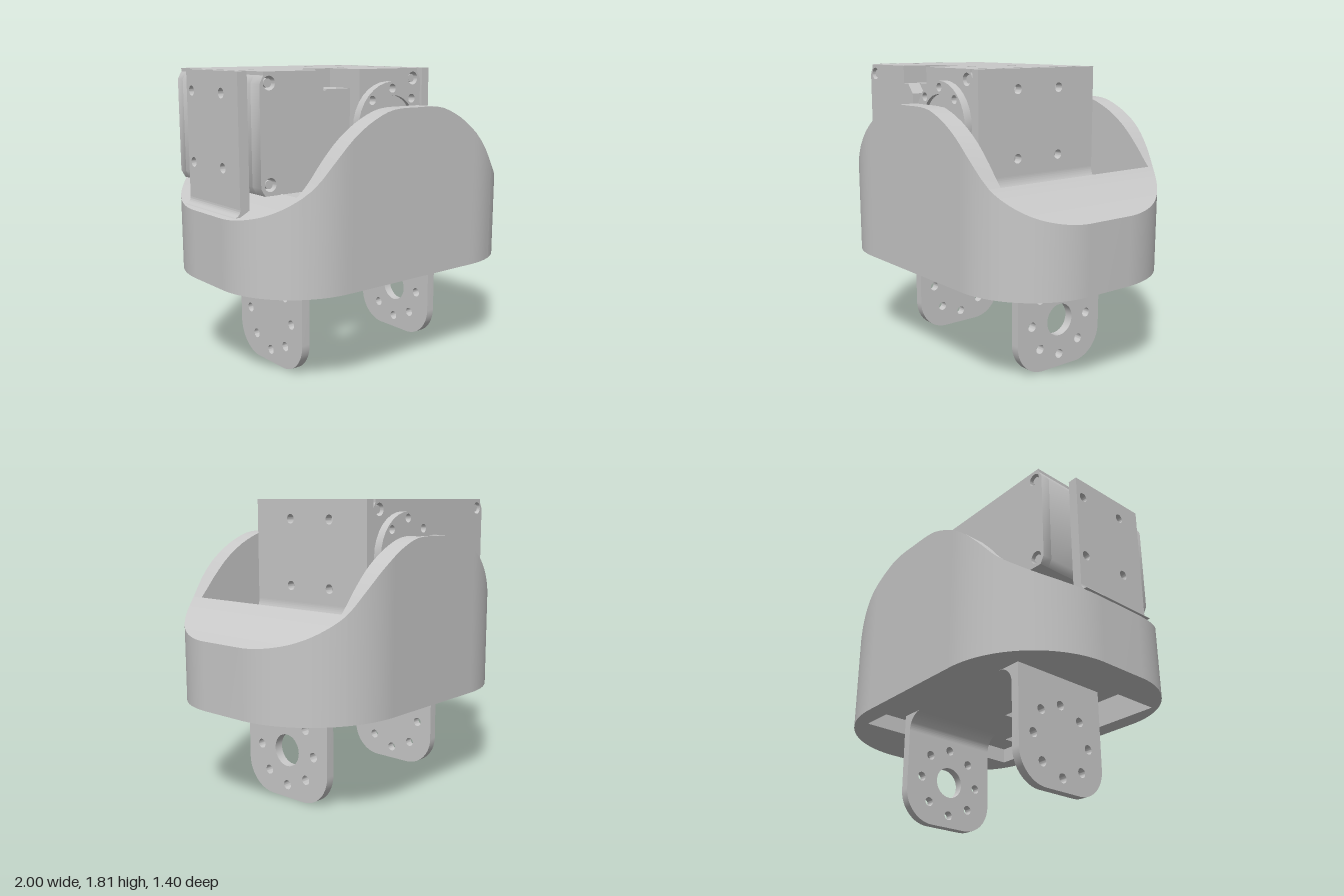
import * as THREE from 'three';
import { toCreasedNormals } from 'three/addons/utils/BufferGeometryUtils.js';

export function createModel() {
  const root = new THREE.Group();
  const grey = new THREE.MeshStandardMaterial({ color: 0xc8c8c8 });
  grey.name = 'neutral grey';

  const add = (name, geo, x = 0, y = 0, z = 0, parent = root) => {
    const m = new THREE.Mesh(geo, grey);
    m.name = name;
    m.position.set(x, y, z);
    parent.add(m);
    return m;
  };
  const group = (name) => {
    const g = new THREE.Group();
    g.name = name;
    root.add(g);
    return g;
  };
  // Box given by its limits
  const block = (name, x0, x1, y0, y1, z0, z1, parent) =>
    add(name, new THREE.BoxGeometry(x1 - x0, y1 - y0, z1 - z0), (x0 + x1) / 2, (y0 + y1) / 2, (z0 + z1) / 2, parent);
  const poly = (pts, holes = []) => {
    const s = new THREE.Shape(pts.map(([x, y]) => new THREE.Vector2(x, y)));
    for (const [x, y, r] of holes) s.holes.push(new THREE.Path().absarc(x, y, r, 0, Math.PI * 2, true));
    return s;
  };
  const rect = (x0, x1, y0, y1) => [[x0, y0], [x1, y0], [x1, y1], [x0, y1]];
  const extrude = (shape, depth) =>
    toCreasedNormals(new THREE.ExtrudeGeometry(shape, { depth, bevelEnabled: false, curveSegments: 16 }), 0.6);
  // Cylinder along z
  const rod = (name, r, x, y, z0, z1, parent) =>
    add(name, new THREE.CylinderGeometry(r, r, z1 - z0, 40).rotateX(Math.PI / 2), x, y, (z0 + z1) / 2, parent);
  // Concave fillet in an inside corner, running along z
  const fillet = (r, length) => {
    const s = new THREE.Shape();
    s.moveTo(0, 0);
    s.lineTo(r, 0);
    s.absarc(r, r, r, Math.PI * 1.5, Math.PI, true);
    s.lineTo(0, 0);
    return extrude(s, length).translate(0, 0, -length / 2);
  };

  // ---- Shell: rounded plan, with a humped top edge ----
  const base = 0.6, inner = 0.58, roof = 0.7, floor = 1.07;
  const hx = [-0.2, 0, 0.2, 0.33, 0.4, 0.5, 0.6, 0.7, 0.8, 0.9, 1];
  const hy = [1.59, 1.6, 1.59, 1.54, 1.5, 1.425, 1.322, 1.205, 1.125, 1.06, 1.01];
  const spline = new THREE.CubicInterpolant(hx, hy, 1);
  const height = (x) => spline.evaluate(Math.min(1, Math.abs(x)))[0];
  // Half-depth at x for a given corner radius: the front corners are tighter
  const halfDepth = (x, r) => {
    const d = Math.max(0, Math.abs(x) - (1 - r));
    return 0.7 - r + Math.sqrt(Math.max(0, r * r - d * d));
  };
  const front = (x) => halfDepth(x, 0.5);
  const back = (x) => -halfDepth(x, 0.6);
  // Lofts rectangular sections along x between the sides zA(x) and zB(x)
  const loft = (x0, x1, zA, zB) => {
    const n = 30, pos = [], loops = [];
    for (let i = 0; i <= n; i++) {
      const t = i / n;
      // closer sections towards the rounded tips
      const u = x1 >= 1 ? Math.sin(t * Math.PI / 2) : x0 <= -1 ? 1 - Math.cos(t * Math.PI / 2) : t;
      const x = x0 + (x1 - x0) * u, a = zA(x), b = zB(x), h = height(x);
      loops.push([[x, base, a], [x, base, b], [x, h, b], [x, h, a]]);
    }
    const quad = (a, b, c, d) => pos.push(...a, ...b, ...c, ...a, ...c, ...d);
    for (let i = 0; i < n; i++)
      for (let k = 0; k < 4; k++) {
        const j = (k + 1) % 4;
        quad(loops[i][k], loops[i + 1][k], loops[i + 1][j], loops[i][j]);
      }
    quad(...loops[0]);
    quad(...loops[n].slice().reverse());
    const g = new THREE.BufferGeometry();
    g.setAttribute('position', new THREE.Float32BufferAttribute(pos, 3));
    return toCreasedNormals(g, 0.6);
  };
  const shell = group('shell');
  add('shellLeftEnd', loft(0.7, 1, back, front), 0, 0, 0, shell);
  add('shellRightEnd', loft(-1, -0.76, back, front), 0, 0, 0, shell);
  add('shellFrontWall', loft(-0.76, 0.7, () => inner, front), 0, 0, 0, shell);
  // Back wall with a slot for the idler shaft
  const slot = 0.122;
  add('shellBackWallRight', loft(-0.76, -slot, back, () => -inner), 0, 0, 0, shell);
  add('shellBackWallMiddle', loft(-slot, slot, back, () => -0.665), 0, 0, 0, shell);
  add('shellBackWallLeft', loft(slot, 0.7, back, () => -inner), 0, 0, 0, shell);
  block('shaftSlotFloor', -slot, slot, base, 1.38, -0.665, -inner, shell);
  block('innerLedge', 0.44, 0.7, roof, floor, -inner, inner, shell);
  block('innerLedgeFoot', 0.6, 0.7, base, roof, -inner, inner, shell);

  // ---- Lower bracket: plate with two drilled ears ----
  const lower = group('lowerBracket');
  const ear = (bore) => {
    const s = new THREE.Shape();
    s.moveTo(-0.33, roof + 0.03);
    s.lineTo(-0.33, 0.2);
    s.absarc(-0.13, 0.2, 0.2, Math.PI, Math.PI * 1.5, false);
    s.absarc(0.13, 0.2, 0.2, Math.PI * 1.5, Math.PI * 2, false);
    s.lineTo(0.33, roof + 0.03);
    for (let i = 0; i < 8; i++) {
      const a = i * Math.PI / 4;
      s.holes.push(new THREE.Path().absarc(0.22 * Math.cos(a), 0.3 + 0.22 * Math.sin(a), 0.029, 0, Math.PI * 2, true));
    }
    if (bore) s.holes.push(new THREE.Path().absarc(0, 0.3, 0.1, 0, Math.PI * 2, true));
    return extrude(s, 0.055).rotateY(Math.PI / 2);
  };
  add('leftEar', ear(true), 0.49, 0, 0, lower);
  add('rightEar', ear(false), -0.55, 0, 0, lower);
  add('rightEarFillet', fillet(0.11, 0.66).rotateX(Math.PI), -0.495, roof, 0, lower);
  add('leftEarFillet', fillet(0.11, 0.66).rotateZ(Math.PI), 0.49, roof, 0, lower);
  // Plate with a cable cut-out at the front (shape y is -z)
  const plate = poly([[-0.76, 0.45], [-0.76, -0.45], [-0.38, -0.45], [-0.38, -0.15], [0.1, -0.15],
    [0.1, -0.45], [0.6, -0.45], [0.6, 0.45]]);
  add('lowerPlate', extrude(plate, 0.06).rotateX(-Math.PI / 2), 0, roof, 0, lower);

  // ---- Upper bracket: cradle around the motor ----
  const upper = group('upperBracket');
  const side = (z0, z1, y0, t) => {
    const holes = [];
    for (const z of [-0.16, 0.16]) for (const y of [1.28, 1.69]) holes.push([-z, y, 0.029]);
    return extrude(poly(rect(-z1, -z0, y0, 1.81), holes), t).rotateY(Math.PI / 2);
  };
  add('leftSidePlate', side(-0.45, 0.45, 1.01, 0.055), 0.278, 0, 0, upper);
  add('rightSidePlate', side(-0.215, 0.33, 1.0, 0.06), -0.955, 0, 0, upper);
  block('cradleFloor', -0.8, 0.3, 1.01, floor, -0.35, 0.35, upper);
  block('cradleFloorLeft', 0.333, 0.44, 1.01, floor, -0.45, 0.45, upper);
  add('leftPlateFillet', fillet(0.11, 0.9), 0.333, floor, 0, upper);
  add('rightPlateFillet', fillet(0.04, 0.545).rotateY(Math.PI), -0.955, 1.03, 0.0575, upper);

  // ---- Servo motor: layers from back to front ----
  const servo = group('servoMotor');
  const L = -0.89, R = 0.272, B = 1.15, T = 1.79, c = 0.025, d = 0.045;
  const screws = [[-0.83, 1.75], [0.21, 1.75], [-0.83, 1.21], [0.21, 1.21]];
  const leftEdge = [[L + c, T], [L, T - d], [L, B + d], [L + c, B]];
  const rightEdge = [[R - c, B], [R, B + d], [R, T - d], [R - c, T]];
  const hole = ([x, y]) => [x, y, 0.038];
  const layer = (name, pts, z0, z1, holes = []) =>
    add(name, extrude(poly(pts, holes.map(hole)), z1 - z0), 0, 0, z0, servo);
  layer('motorBackCover', [...leftEdge, ...rightEdge], -0.44, -0.38, screws);
  layer('motorCore', [...leftEdge, ...rightEdge], -0.38, 0.17);
  layer('motorNotchedSection', [...leftEdge, ...rightEdge, [-0.21, T], [-0.21, 1.7], [-0.47, 1.7], [-0.47, T]], 0.17, 0.355);
  layer('motorFrontCoverRight', [...leftEdge, [-0.37, B], [-0.37, 1.64], [-0.42, 1.7], [-0.47, 1.7], [-0.47, T]],
    0.355, 0.44, [screws[0], screws[2]]);
  layer('motorFrontCoverLeft', [[-0.21, B], ...rightEdge, [-0.21, T]], 0.355, 0.44, [screws[1], screws[3]]);
  for (const [x, y] of screws) {
    rod('frontScrew', 0.024, x, y, 0.34, 0.425, servo);
    rod('backScrew', 0.024, x, y, -0.425, -0.37, servo);
  }
  // Lid with screw holes and the cable notch (shape y is -z)
  const lidHoles = [];
  for (const x of [-0.76, -0.12]) for (const z of [-0.16, 0.16]) lidHoles.push([x, z, 0.027]);
  const lid = poly([[-0.865, 0.44], [-0.865, -0.44], [-0.47, -0.44], [-0.47, -0.17], [-0.21, -0.17],
    [-0.21, -0.44], [0.245, -0.44], [0.245, 0.44]], lidHoles);
  add('motorLid', extrude(lid, 0.022).rotateX(-Math.PI / 2), 0, T - 0.002, 0, servo);

  // ---- Output horns on both faces ----
  const hornY = 1.48;
  const horn = (bore) => {
    const s = new THREE.Shape().absarc(0, 0, 0.257, 0, Math.PI * 2, false);
    for (let i = 0; i < 8; i++) {
      const a = i * Math.PI / 4;
      s.holes.push(new THREE.Path().absarc(0.218 * Math.cos(a), 0.218 * Math.sin(a), 0.026, 0, Math.PI * 2, true));
    }
    if (bore) s.holes.push(new THREE.Path().absarc(0, 0, 0.178, 0, Math.PI * 2, true));
    return extrude(s, 0.05);
  };
  add('frontHorn', horn(true), 0, hornY, 0.44, servo);
  rod('frontHornHub', 0.178, 0, hornY, 0.43, 0.465, servo);
  rod('frontHornBoss', 0.1, 0, hornY, 0.46, 0.485, servo);
  add('backHorn', horn(false), 0, hornY, -0.49, servo);
  rod('idlerCollar', 0.098, 0, hornY, -0.535, -0.48, servo);
  rod('idlerShaft', 0.054, 0, hornY, -0.6, -0.53, servo);

  return root;
}
